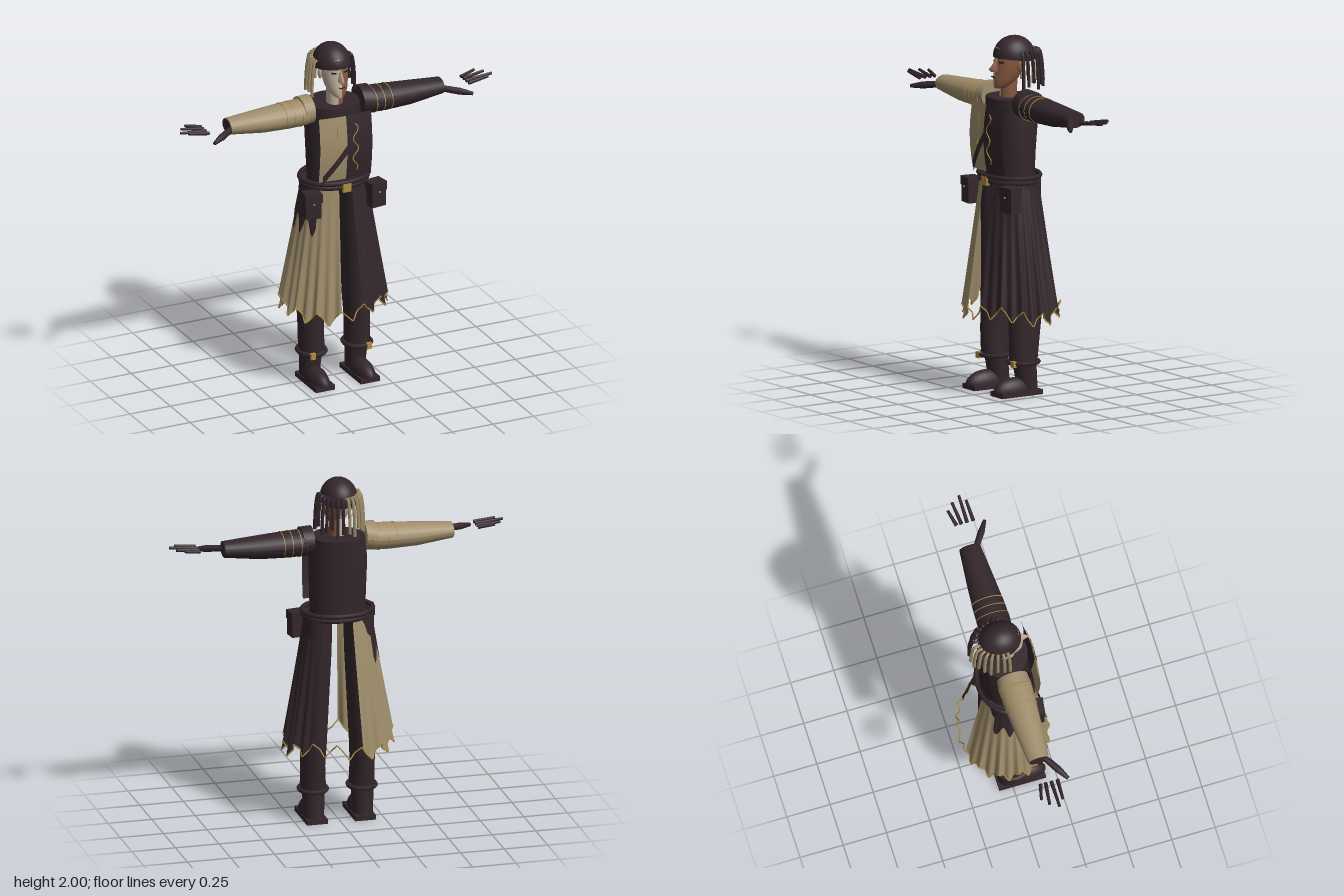
import * as THREE from 'three';

const mat = (name, color) => {
  const m = new THREE.MeshStandardMaterial({ color, side: THREE.DoubleSide });
  m.name = name;
  return m;
};
const V = (x, y, z) => new THREE.Vector3(x, y, z);
const lerp = THREE.MathUtils.lerp;
const DEG = Math.PI / 180;

// Grid surface from a rule p(u, v); u runs counter-clockwise seen from above, v runs up
function sheet(p, nu, nv) {
  const pos = [], idx = [], w = nu + 1;
  for (let j = 0; j <= nv; j++) for (let i = 0; i <= nu; i++) pos.push(...p(i / nu, j / nv));
  for (let j = 0; j < nv; j++) for (let i = 0; i < nu; i++) {
    const a = j * w + i;
    idx.push(a, a + 1, a + w + 1, a, a + w + 1, a + w);
  }
  const g = new THREE.BufferGeometry();
  g.setAttribute('position', new THREE.Float32BufferAttribute(pos, 3));
  g.setIndex(idx);
  g.computeVertexNormals();
  return g;
}

// Elliptic loft through rings [y, cx, cz, rx, rz], with flat ends
function loft(rings, n = 24, a0 = -Math.PI, a1 = Math.PI) {
  const end = (r) => [r[0], r[1], r[2], 0, 0];
  const first = rings[0], last = rings[rings.length - 1];
  const all = [end(first), first, ...rings, last, end(last)];
  return sheet((u, v) => {
    const [y, cx, cz, rx, rz] = all[Math.round(v * (all.length - 1))];
    const a = lerp(a0, a1, u);
    return [cx + rx * Math.sin(a), y, cz + rz * Math.cos(a)];
  }, n, all.length - 1);
}

const tube = (pts, r, seg = 16, closed = false) =>
  new THREE.TubeGeometry(new THREE.CatmullRomCurve3(pts, closed), seg, r, 6, closed);

// Ragged hem height around the skirt, and a point on the skirt surface
function hemY(a) {
  const k = (a / (2 * Math.PI)) * 14;
  const tri = Math.abs(k - Math.round(k)) * 2;
  return 0.425 + 0.075 * tri + 0.018 * Math.sin(a * 3);
}
function skirtPoint(a, t, out = 0) {
  const fold = 1 + 0.035 * t * Math.cos(a * 28);
  const y = lerp(1.19, hemY(a), t);
  return [(lerp(0.19, 0.305, t) * fold + out) * Math.sin(a), y,
    lerp(0.012, 0, t) + (lerp(0.15, 0.245, t) * fold + out) * Math.cos(a)];
}

export function createModel() {
  const root = new THREE.Group();
  root.name = 'robedTraveller';
  const dark = mat('darkCloth', 0x33262a), tan = mat('tanCloth', 0xa08e6c), gold = mat('goldTrim', 0xb08c42);
  const pale = mat('paleSkin', 0xc4b09c), brown = mat('brownSkin', 0x84573f), black = mat('blackInk', 0x1c1516);
  const add = (name, geo, m, x = 0, y = 0, z = 0, parent = root) => {
    const mesh = new THREE.Mesh(geo, m);
    mesh.name = name;
    mesh.position.set(x, y, z);
    parent.add(mesh);
    return mesh;
  };
  const box = (w, h, d) => new THREE.BoxGeometry(w, h, d);

  // Torso
  add('torso', loft([[1.19, 0, 0.008, 0.155, 0.128], [1.35, 0, 0.006, 0.16, 0.132],
    [1.52, 0, 0, 0.165, 0.14], [1.66, 0, -0.003, 0.15, 0.14]], 32), dark);

  // Two coat fronts hanging just ahead of the chest
  const frontZ = (x, y) => 0.158 + 0.026 * Math.sin((y - 1.22) / 0.45 * Math.PI) - 0.6 * x * x;
  for (const s of [-1, 1]) {
    add(s < 0 ? 'rightCoatFront' : 'leftCoatFront', sheet((u, v) => {
      const y = lerp(1.25, 1.63, v);
      const x = s < 0 ? lerp(-0.16, 0, u) : lerp(0, 0.16, u);
      return [x, y, frontZ(x, y)];
    }, 8, 10), s < 0 ? tan : dark);
  }
  // Diagonal strap across the chest
  add('chestStrap', sheet((u, v) => {
    const x = lerp(-0.14, 0.12, u), y = lerp(1.26, 1.59, u) + (v - 0.5) * 0.055;
    return [x, y, frontZ(x, y) + 0.006];
  }, 12, 1), dark);
  // Wavy gold embroidery
  const wave = [];
  for (let i = 0; i <= 12; i++) {
    const y = lerp(1.58, 1.3, i / 12), x = 0.05 + 0.017 * Math.sin(i * 1.25);
    wave.push(V(x, y, frontZ(x, y) + 0.005));
  }
  add('leftEmbroidery', tube(wave, 0.0035, 48), gold);
  for (const y0 of [1.54, 1.41]) {
    const pts = [-1, 0, 1].map((k) => V(-0.052 - 0.008 * (1 - k * k), y0 + k * 0.04, frontZ(-0.055, y0) + 0.002));
    add('rightEmbroidery', tube(pts, 0.002), gold);
  }

  // Belt, buckle and hip pouches
  for (const [y, r] of [[1.226, 0.2], [1.2, 0.192]]) {
    const belt = add('belt', new THREE.TorusGeometry(r, 0.014, 6, 32).rotateX(Math.PI / 2), dark, 0, y, 0.012);
    belt.scale.z = 0.79;
  }
  add('beltBuckle', box(0.05, 0.05, 0.02), gold, 0, 1.2, 0.172);
  for (const s of [-1, 1]) {
    const pouch = new THREE.Group();
    pouch.name = 'pouch';
    pouch.position.set(s * 0.195, 1.11, 0.135);
    pouch.rotation.y = s * 0.15;
    root.add(pouch);
    add('pouchBody', box(0.09, 0.13, 0.075), dark, 0, 0, 0, pouch);
    add('pouchFlap', box(0.1, 0.05, 0.085), dark, 0, 0.055, 0, pouch);
    add('pouchStud', new THREE.SphereGeometry(0.006, 8, 6), gold, 0, 0.025, 0.044, pouch);
  }

  // Skirt halves: tan on the right, dark on the left with an open back
  const skirt = (name, a0, a1, m) => add(name, sheet((u, v) =>
    skirtPoint(lerp(a0, a1, u) * DEG, 1 - v), 112, 6), m);
  skirt('rightSkirt', -165, -12, tan);
  skirt('leftSkirt', 12, 136, dark);
  add('hipPatch', sheet((u, v) => {
    const a = lerp(-130, -48, u) * DEG;
    return skirtPoint(a, (1 - v) * (0.3 + 0.06 * Math.sin(u * 22)), 0.004);
  }, 40, 4), dark);
  // Gold zigzag hem running all the way round
  const hem = [];
  for (let i = 0; i < 168; i++) hem.push(V(...skirtPoint((i / 168) * 2 * Math.PI, 1)));
  add('hemTrim', tube(hem, 0.004, 336, true), gold);

  for (const s of [-1, 1]) {
    const side = s < 0 ? 'right' : 'left';
    // Legs, cuffs and boots
    add(side + 'Trouser', loft([[0.2, s * 0.14, 0.012, 0.072, 0.082], [0.32, s * 0.142, 0.008, 0.068, 0.092],
      [0.45, s * 0.14, 0, 0.072, 0.1], [0.7, s * 0.13, 0, 0.075, 0.1],
      [1.0, s * 0.122, 0, 0.082, 0.108], [1.2, s * 0.115, 0, 0.078, 0.11]]), dark);
    const strap = add(side + 'CuffStrap', new THREE.TorusGeometry(0.077, 0.013, 6, 24).rotateX(Math.PI / 2),
      dark, s * 0.14, 0.185, 0.012);
    strap.scale.z = 1.12;
    add(side + 'CuffBuckle', box(0.03, 0.035, 0.02), gold, s * 0.172, 0.182, 0.1);
    add(side + 'BootShaft', loft([[0.03, s * 0.14, -0.012, 0.055, 0.062], [0.1, s * 0.14, -0.005, 0.06, 0.062],
      [0.21, s * 0.14, 0.008, 0.065, 0.07]]), dark);
    const foot = add(side + 'Foot', new THREE.SphereGeometry(1, 20, 12, 0, Math.PI * 2, 0, Math.PI / 2),
      dark, s * 0.14, 0.025, 0.075);
    foot.scale.set(0.058, 0.078, 0.13);
    add(side + 'Sole', box(0.118, 0.028, 0.27), dark, s * 0.138, 0.014, 0.055);

    // Sleeves are lofted upright and turned outwards
    const cloth = s < 0 ? tan : dark;
    const arm = (rings) => loft(rings.map(([x, cy, ry, rz]) => [x, -s * cy, 0.008, ry, rz])).rotateZ(-s * Math.PI / 2);
    add(side + 'ShoulderCap', arm([[0.15, 1.642, 0.08, 0.088], [0.212, 1.638, 0.08, 0.094]]), cloth);
    add(side + 'Sleeve', arm([[0.19, 1.632, 0.074, 0.094], [0.3, 1.628, 0.073, 0.09],
      [0.45, 1.625, 0.066, 0.079], [0.655, 1.63, 0.045, 0.06]]), cloth);
    add(side + 'SleeveEnd', arm([[0.654, 1.63, 0.04, 0.054], [0.658, 1.63, 0.04, 0.054]]), dark);
    for (const [x, r, d] of [[0.227, 0.0755, 0.0945], [0.275, 0.0748, 0.0925], [0.323, 0.0735, 0.0905]])
      add(side + 'SleeveBand', arm([[x - 0.002, 1.629, r, d], [x + 0.002, 1.629, r, d]]), gold);

    // Thumb blade and four separate fingers
    const limb = (name, a, b, r0, r1) => {
      const dir = b.clone().sub(a);
      const m = add(side + name, new THREE.CylinderGeometry(r1, r0, dir.length(), 8), dark);
      m.position.copy(a).add(b).multiplyScalar(0.5);
      m.quaternion.setFromUnitVectors(V(0, 1, 0), dir.normalize());
    };
    limb('Palm', V(s * 0.65, 1.625, 0.045), V(s * 0.735, 1.612, 0.1), 0.018, 0.02);
    limb('Thumb', V(s * 0.73, 1.613, 0.097), V(s * 0.795, 1.602, 0.137), 0.02, 0.01);
    for (const [z0, z1, x1] of [[-0.025, -0.048, 0.89], [0.004, -0.012, 0.93], [0.037, 0.037, 0.957], [0.073, 0.067, 0.92]])
      limb('Finger', V(s * 0.798, 1.64, z0), V(s * x1, 1.656, z1), 0.011, 0.008);

    // Face and neck, a different skin on each half
    const skin = s < 0 ? pale : brown;
    const half = (rings) => loft(rings, 14, s < 0 ? -Math.PI : 0, s < 0 ? 0 : Math.PI);
    add(side + 'Neck', half([[1.63, 0, 0.02, 0.046, 0.05], [1.78, 0, 0.015, 0.044, 0.05]]), skin);
    add(side + 'Face', half([[1.715, 0, 0.07, 0.026, 0.04], [1.735, 0, 0.052, 0.046, 0.06],
      [1.77, 0, 0.035, 0.062, 0.077], [1.82, 0, 0.018, 0.073, 0.083],
      [1.87, 0, 0.008, 0.078, 0.09], [1.94, 0, 0, 0.074, 0.09]]), skin);
    add(side + 'Nose', half([[1.808, 0, 0.1, 0.016, 0.03], [1.822, 0, 0.1, 0.017, 0.049],
      [1.85, 0, 0.09, 0.011, 0.033], [1.885, 0, 0.085, 0.008, 0.016]]), skin);
    add(side + 'Lips', half([[1.768, 0, 0.095, 0.014, 0.016], [1.778, 0, 0.1, 0.02, 0.02],
      [1.79, 0, 0.095, 0.014, 0.014]]), skin);
    const ear = add(side + 'Ear', new THREE.SphereGeometry(1, 10, 8), skin, s * 0.078, 1.835, -0.01);
    ear.scale.set(0.01, 0.032, 0.02);
    const eye = add(side + 'Eye', box(0.028, 0.008, 0.008), black, s * 0.036, 1.862, 0.087);
    eye.rotation.y = s * 0.45;
    const brow = add(side + 'Brow', box(0.038, 0.007, 0.008), black, s * 0.036, 1.888, 0.087);
    brow.rotation.set(0, s * 0.45, s * 0.15);

    // Hanging locks round the side and back of the head
    for (let i = 0; i < 8; i++) {
      const a = lerp(78, 172, i / 7) * DEG, x = s * Math.sin(a), z = Math.cos(a);
      const end = 1.705 + 0.02 * (i % 3);
      const at = (r, y) => V(x * r, y, -0.025 + z * r * (z < 0 ? 1.25 : 1));
      add(side + 'Lock', tube([at(0.088, 1.91), at(0.113, 1.915), at(0.125, 1.87), at(0.132, 1.79), at(0.134, end)],
        0.0095, 16), cloth);
    }
  }
  add('mouth', box(0.034, 0.004, 0.008), black, 0, 1.779, 0.117);

  // Close cap over the skull
  const cap = add('headCap', new THREE.SphereGeometry(1, 32, 14, 0, Math.PI * 2, 0, Math.PI * 0.54), dark, 0, 1.885, -0.02);
  cap.scale.set(0.105, 0.115, 0.122);
  cap.rotation.x = -0.12;
  return root;
}
